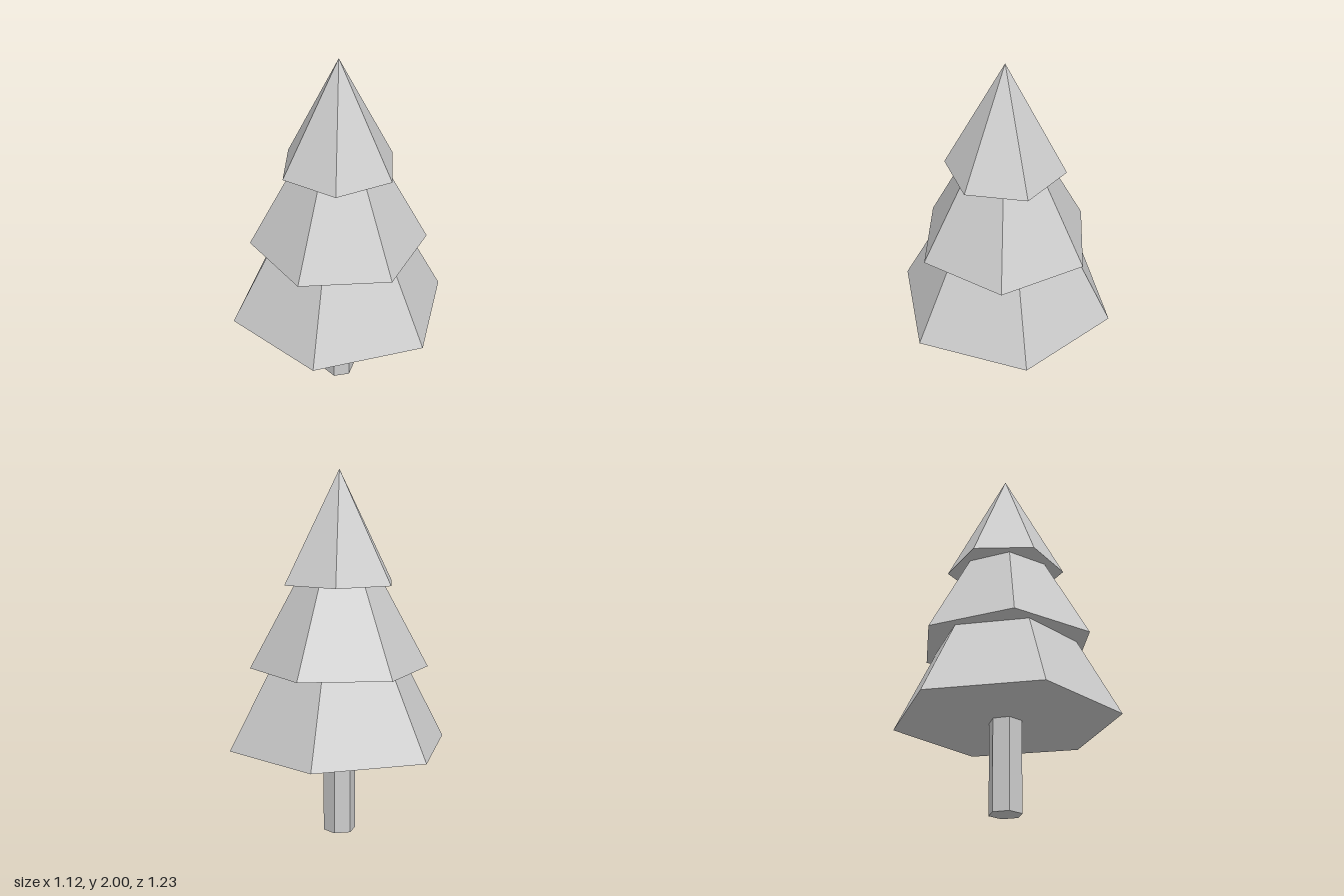
import * as THREE from 'three';

export function createModel() {
  const tree = new THREE.Group();
  tree.name = 'pineTree';
  const grey = new THREE.MeshStandardMaterial({ color: 0xcccccc, flatShading: true });
  grey.name = 'plain grey';

  const SIDES = 6;
  function add(name, geometry, y) {
    const mesh = new THREE.Mesh(geometry, grey);
    mesh.name = name;
    mesh.position.y = y;
    tree.add(mesh);
  }

  // Six-sided trunk with a corner facing front
  const trunkHeight = 0.5;
  add('trunk', new THREE.CylinderGeometry(0.09, 0.09, trunkHeight, SIDES), trunkHeight / 2);

  // Closed six-sided foliage cones, each twisted a little differently
  const tiers = [
    { name: 'lowerFoliage', radius: 0.618, base: 0.497, apex: 1.67, twist: 0.087 },
    { name: 'middleFoliage', radius: 0.49, base: 0.927, apex: 1.837, twist: -0.138 },
    { name: 'upperFoliage', radius: 0.326, base: 1.392, apex: 2, twist: 0.262 },
  ];
  for (const { name, radius, base, apex, twist } of tiers) {
    const cone = new THREE.ConeGeometry(radius, apex - base, SIDES, 1, false, twist);
    add(name, cone, (base + apex) / 2);
  }
  return tree;
}
